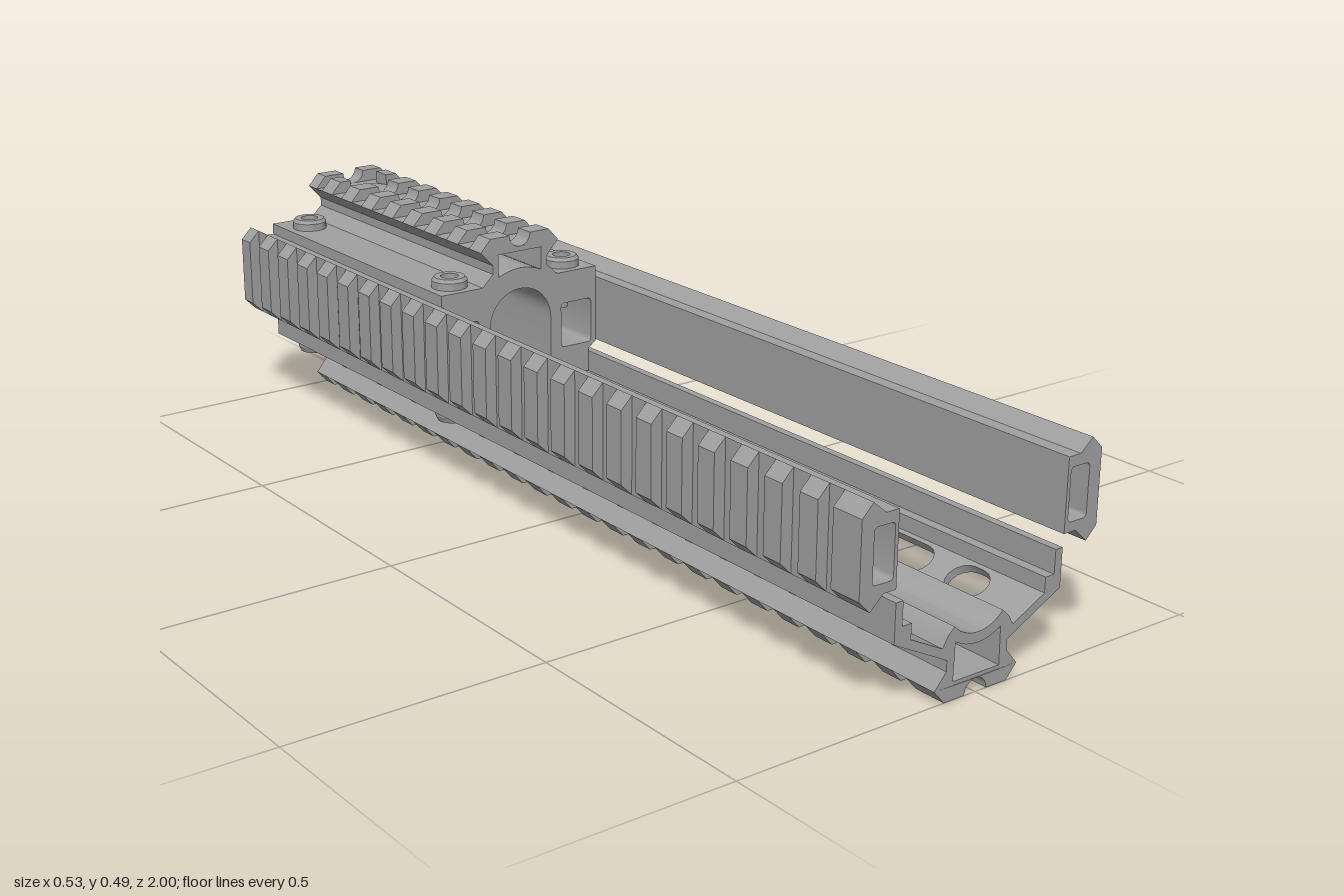
import * as THREE from 'three';
import { toCreasedNormals } from 'three/addons/utils/BufferGeometryUtils.js';

const grey = new THREE.MeshStandardMaterial({ color: 0xa0a0a0 });
grey.name = 'anodised grey';

const BACK = -1, FRONT = 1, BLOCK_FRONT = -0.305;
const PITCH = 0.0847, TOOTH = 0.043;

const V = (x, y) => new THREE.Vector2(x, y);
const pts = (list) => list.map(([x, y]) => V(x, y));
const flip = (list, s) => list.map((p) => V(p.x * s, p.y));

// points on a circle, angles in degrees
function arc(cx, cy, r, a0, a1, n = 12) {
  return Array.from({ length: n + 1 }, (_, i) => {
    const a = THREE.MathUtils.degToRad(a0 + ((a1 - a0) * i) / n);
    return V(cx + r * Math.cos(a), cy + r * Math.sin(a));
  });
}

// closes a half outline by mirroring it across x = 0
const mirrored = (half) => [...half, ...flip(half, -1).reverse()];

// rectangle with rounded corners
function rounded(x0, y0, x1, y1, r) {
  return [
    ...arc(x1 - r, y1 - r, r, 0, 90, 4), ...arc(x0 + r, y1 - r, r, 90, 180, 4),
    ...arc(x0 + r, y0 + r, r, 180, 270, 4), ...arc(x1 - r, y0 + r, r, 270, 360, 4),
  ];
}

function extrude(outline, z0, z1, holes = []) {
  const shape = new THREE.Shape(outline);
  holes.forEach((h) => shape.holes.push(new THREE.Path(h)));
  const geo = new THREE.ExtrudeGeometry(shape, { depth: z1 - z0, bevelEnabled: false });
  geo.translate(0, 0, z0);
  return toCreasedNormals(geo, 0.5);
}

// slants the rear end of the left side rail
function slantRear(geo) {
  const p = geo.attributes.position;
  for (let i = 0; i < p.count; i++) {
    p.setZ(i, Math.max(p.getZ(i), BACK + Math.max(0, p.getX(i) - 0.187) * 1.2));
  }
  geo.computeVertexNormals();
  return geo;
}

// start and end of each rail tooth on the full-length rails
function longTeeth() {
  const list = [[0.935, FRONT]];
  for (let k = 0; k < 23; k++) {
    const z = 0.9 - PITCH * k;
    list.push([Math.max(BACK, z - TOOTH), z]);
  }
  return list;
}

export function createModel() {
  const model = new THREE.Group();
  const add = (name, geo, parent = model) => {
    const mesh = new THREE.Mesh(geo, grey);
    mesh.name = name;
    parent.add(mesh);
    return mesh;
  };
  const group = (name) => {
    const g = new THREE.Group();
    g.name = name;
    model.add(g);
    return g;
  };

  // rear clamp block with bore, side windows and top rail base
  const block = mirrored([
    ...pts([[0.093, 0.46], [0.065, 0.43], [0.065, 0.412], [0.09, 0.388], [0.187, 0.388],
      [0.187, 0.228], [0.168, 0.213], [0.168, 0.165], [0.15, 0.165], [0.15, 0.147]]),
    ...arc(0, 0.181, 0.093, -21.5, -88, 12),
  ]);
  const bore = [...arc(0, 0.298, 0.074, 0, 180, 24), ...arc(0, 0.181, 0.074, 180, 360, 24)];
  const window1 = rounded(0.1, 0.228, 0.175, 0.322, 0.008);
  const topHole = [...pts([[0.052, 0.45], [-0.052, 0.45]]), ...arc(0, 0.298, 0.117, 116, 64, 12)];
  add('clampBlock', extrude(block, BACK, BLOCK_FRONT,
    [bore, window1, flip(window1, -1).reverse(), topHole]));

  // top rail teeth, split by a round centre groove
  const topTeeth = group('topRailTeeth');
  const bottomTeeth = group('bottomRailTeeth');
  const topTooth = (s) => flip([...pts([[0.093, 0.46], [0.07, 0.485]]),
    ...arc(0, 0.485, 0.025, 0, -88, 6)], s);
  const cutTooth = (s) => flip(pts([[0.093, 0.46], [0.07, 0.485], [0.045, 0.485], [0.045, 0.46]]), s);
  const bottomTooth = (s) => flip([...pts([[0.093, 0.026], [0.07, 0]]),
    ...arc(0, 0, 0.025, 0, 88, 6)], s);
  for (const s of [1, -1]) {
    for (let k = 0; k < 8; k++) {
      const z = BLOCK_FRONT - PITCH * k;
      add('topTooth', extrude(k === 7 ? cutTooth(s) : topTooth(s), z - TOOTH, z), topTeeth);
    }
    add('topTooth', extrude(topTooth(s), BACK, -0.965), topTeeth);
    for (const [a, b] of longTeeth()) add('bottomTooth', extrude(bottomTooth(s), a, b), bottomTeeth);
  }
  const seat = add('roundRecess', new THREE.CylinderGeometry(0.045, 0.045, 0.006, 32));
  seat.position.set(0, 0.46, -0.89);

  // hollow side rails
  const railOutline = pts([[0.187, 0.365], [0.214, 0.365], [0.241, 0.388],
    [0.241, 0.205], [0.214, 0.23], [0.187, 0.23]]);
  const railHole = rounded(0.194, 0.248, 0.2375, 0.345, 0.007);
  const sideTooth = pts([[0.241, 0.388], [0.264, 0.365], [0.264, 0.228], [0.241, 0.205]]);
  for (const s of [1, -1]) {
    const rail = group(s > 0 ? 'leftRail' : 'rightRail');
    const finish = (geo) => (s > 0 ? slantRear(geo) : geo);
    add('railBody', finish(extrude(flip(railOutline, s), BACK, FRONT, [flip(railHole, s)])), rail);
    for (const [a, b] of longTeeth()) {
      if (s > 0 && b < -0.92) continue;
      add('railTooth', finish(extrude(flip(sideTooth, s), a, b)), rail);
    }
  }

  // lower rail: curved centre, slotted sloping panels and upright walls
  const lower = group('lowerRail');
  const centre = mirrored([
    ...pts([[0.093, 0.026], [0.068, 0.055], [0.068, 0.075], [0.08, 0.081], [0.08, 0.097], [0.068, 0.118]]),
    ...arc(0, 0.181, 0.074, -43, -88, 10),
  ]);
  const lowerHole = [...pts([[-0.052, 0.033], [0.052, 0.033]]), ...arc(0, 0.181, 0.093, -57, -123, 12)];
  add('lowerCentre', extrude(centre, BACK, FRONT, [lowerHole]), lower);

  const wall = pts([[0.186, 0.135], [0.186, 0.207], [0.17, 0.207], [0.17, 0.163],
    [0.15, 0.163], [0.15, 0.134], [0.165, 0.125]]);
  const slots = [[0.86, 0.085], [0.684, 0.17], [0.47, 0.17], [0.257, 0.17], [0.037, 0.17],
    [-0.17, 0.17], [-0.35, 0.085], [-0.524, 0.16], [-0.743, 0.17], [-0.92, 0.085]];
  const width = Math.hypot(0.118, 0.06), c = 0.118 / width, sn = 0.06 / width;
  for (const s of [1, -1]) {
    add('lowerWall', extrude(flip(wall, s), BACK, FRONT), lower);
    const holes = slots.map(([z, len]) =>
      rounded(0.025, -s * z - len / 2, 0.092, -s * z + len / 2, 0.033));
    const panel = extrude(pts([[0, -1], [width, -1], [width, 1], [0, 1]]), 0, 0.016, holes);
    panel.applyMatrix4(new THREE.Matrix4().makeBasis(
      new THREE.Vector3(s * c, sn, 0), new THREE.Vector3(0, 0, -s), new THREE.Vector3(-s * sn, c, 0),
    ).setPosition(s * 0.068, 0.075, 0));
    add('slottedPanel', panel, lower);
  }

  // socket-head screws above and below the clamp, with pin tips in the windows
  const screws = group('screws');
  const head = toCreasedNormals(new THREE.LatheGeometry(pts([[0.036, -0.002], [0.036, 0.015],
    [0.031, 0.022], [0.018, 0.022], [0.018, 0.006], [0, 0.006]]), 28), 0.5);
  const pin = new THREE.CylinderGeometry(0.0125, 0.0125, 0.028, 16);
  for (const x of [-0.136, 0.136]) {
    for (const z of [-0.925, -0.355]) {
      add('topScrew', head, screws).position.set(x, 0.388, z);
      const low = add('bottomScrew', head, screws);
      low.position.set(x, 0.147, z);
      low.rotation.x = Math.PI;
      low.scale.y = 1.75;
      add('screwTip', pin, screws).position.set(x, 0.312, z);
    }
  }
  return model;
}
